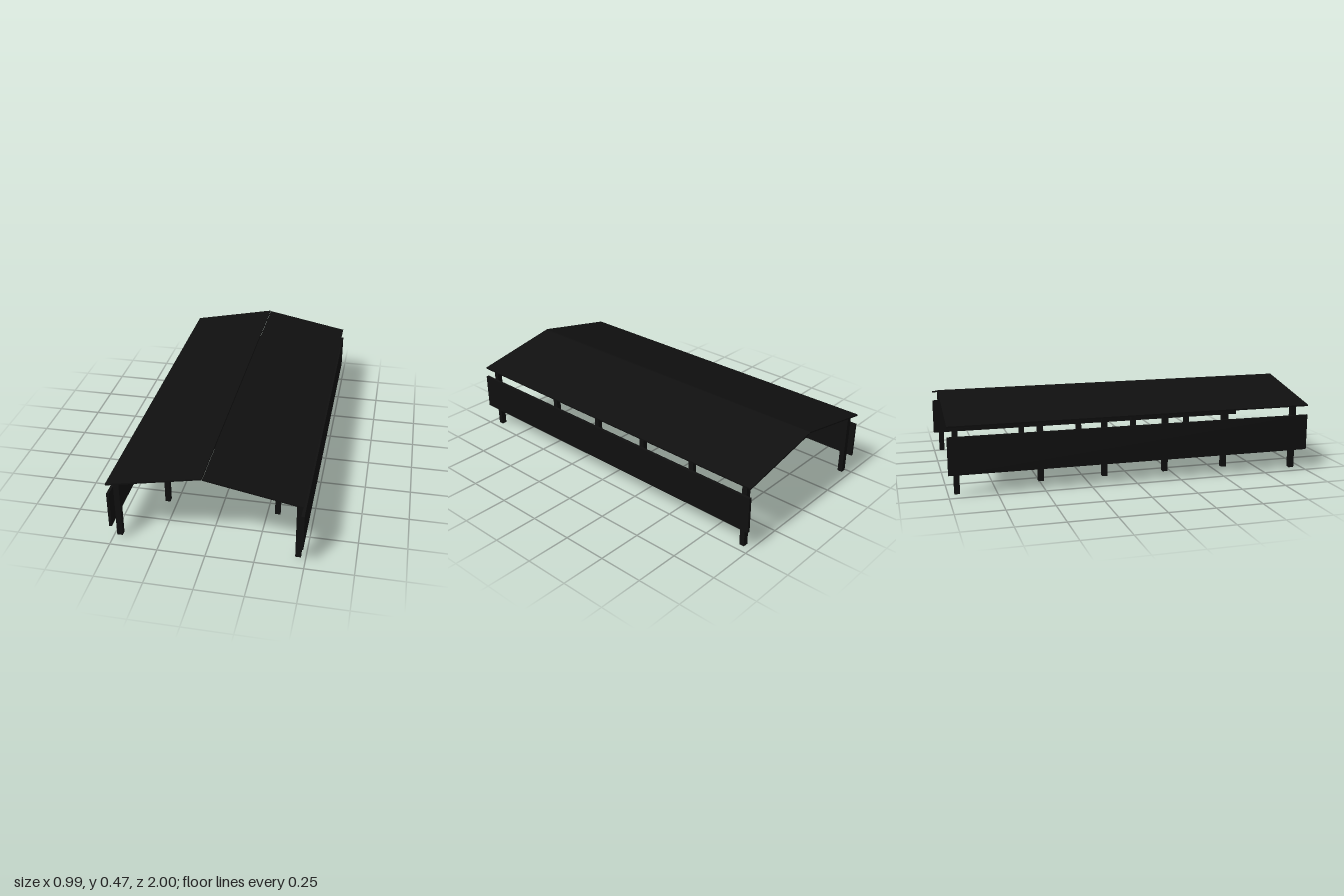
import * as THREE from 'three';

export function createModel() {
  const model = new THREE.Group();
  const black = new THREE.MeshStandardMaterial({ color: 0x0f0f0f });

  // Box given by its minimum and maximum corners
  function box(name, [x0, y0, z0], [x1, y1, z1]) {
    const mesh = new THREE.Mesh(new THREE.BoxGeometry(x1 - x0, y1 - y0, z1 - z0), black);
    mesh.position.set((x0 + x1) / 2, (y0 + y1) / 2, (z0 + z1) / 2);
    mesh.name = name;
    model.add(mesh);
  }

  // Sloped slab: its centre line runs from (xa, ya) to (xb, yb)
  function slab(name, xa, ya, xb, yb, thickness, z, depth) {
    const length = Math.hypot(xb - xa, yb - ya);
    const mesh = new THREE.Mesh(new THREE.BoxGeometry(length, thickness, depth), black);
    mesh.position.set((xa + xb) / 2, (ya + yb) / 2, z);
    mesh.rotation.z = Math.atan2(yb - ya, xb - xa);
    mesh.name = name;
    model.add(mesh);
  }

  // Roof halves, with a hairline gap at the ridge
  slab('roofRight', -0.494, 0.371, -0.006, 0.468, 0.008, 0, 2);
  slab('roofLeft', -0.003, 0.465, 0.488, 0.371, 0.008, 0, 2);

  // Side wall panels
  box('wallRight', [-0.493, 0.118, -1], [-0.479, 0.317, 1]);
  box('wallLeft', [0.477, 0.118, -1], [0.493, 0.317, 1]);

  // Corner posts
  for (const z of [0.92, -0.957]) {
    const shift = z > 0 ? 0 : 0.005;
    box('cornerPostRight', [-0.48 + shift, 0.014, z - 0.014], [-0.45 + shift, 0.374, z + 0.014]);
    box('cornerPostLeft', [0.448, 0.014, z - 0.014], [0.477, 0.374, z + 0.014]);
  }

  // Inner frames: two posts and two rafters each
  for (const z of [0.575, 0.22, -0.133, -0.49]) {
    box('innerPostRight', [-0.318, 0, z - 0.015], [-0.29, 0.4, z + 0.015]);
    box('innerPostLeft', [0.291, 0, z - 0.015], [0.319, 0.4, z + 0.015]);
    slab('rafterRight', -0.304, 0.391, -0.008, 0.452, 0.018, z, 0.026);
    slab('rafterLeft', 0.005, 0.446, 0.305, 0.391, 0.018, z, 0.026);
  }

  // Ridge beam
  box('ridgeBeam', [-0.018, 0.431, -0.61], [0.01, 0.46, 0.68]);

  return model;
}
